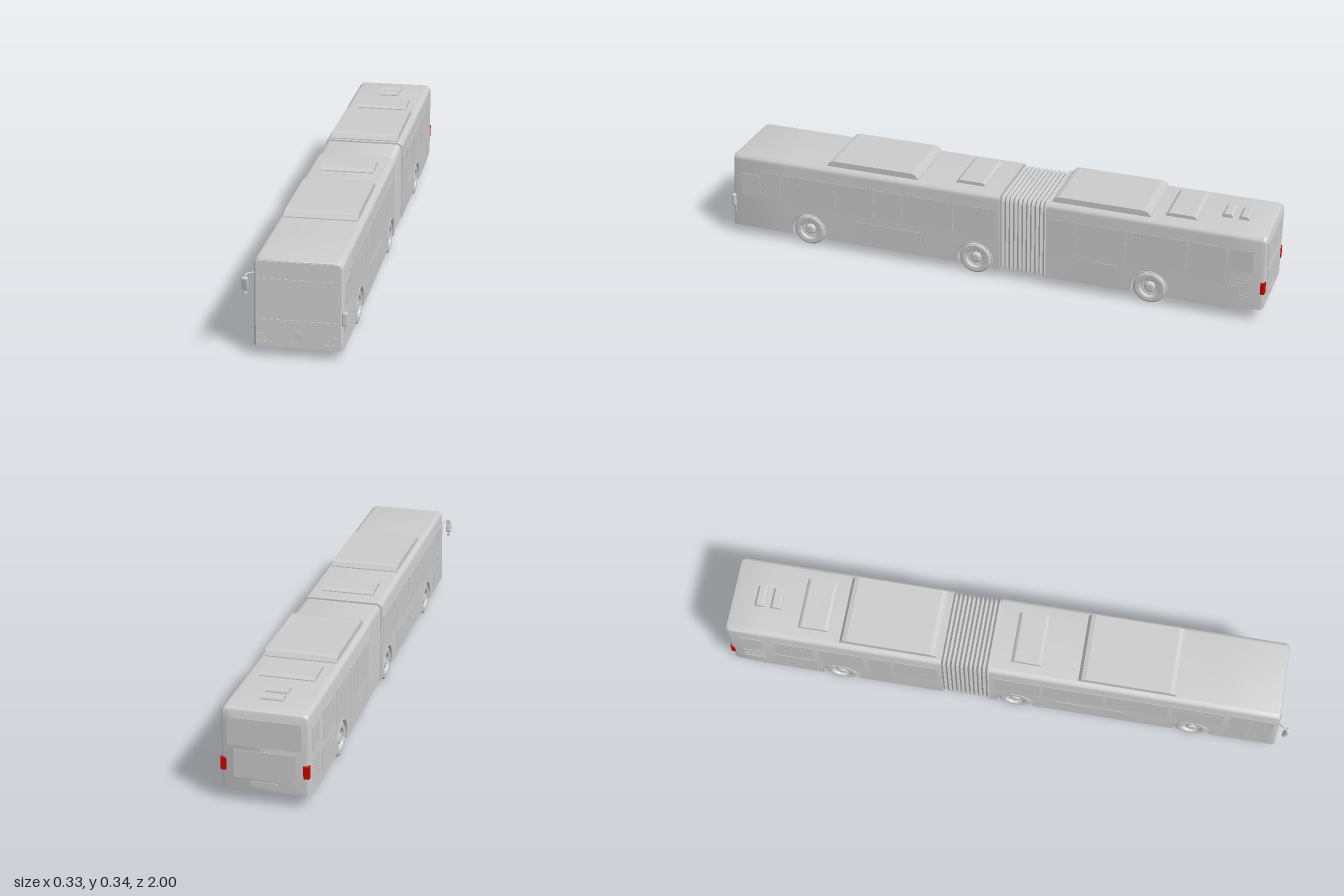
import * as THREE from 'three';
import { toCreasedNormals } from 'three/addons/utils/BufferGeometryUtils.js';
import { RoundedBoxGeometry } from 'three/addons/geometries/RoundedBoxGeometry.js';

const CX = 0.0075, HALF = 0.1425, FLOOR = 0.034, ROOF = 0.322;
const AXLES = [0.67, 0.032, -0.602], WHEEL_R = 0.058, ARCH_R = 0.065;
const frontZ = (y) => 0.974 - 0.065 * (y - FLOOR);
const grey = new THREE.MeshStandardMaterial({ color: 0xcccccc });
const red = new THREE.MeshStandardMaterial({ color: 0xcc0000 });

// Body outline, counterclockwise: flat bottom, rounded roof corners
function section(w, bottom, top, r = 0.02) {
  const pts = [[-w, bottom], [w, bottom]];
  for (const [cx, start] of [[w - r, 0], [r - w, Math.PI / 2]]) {
    for (let i = 0; i <= 6; i++) {
      const a = start + (i / 6) * Math.PI / 2;
      pts.push([cx + r * Math.cos(a), top - r + r * Math.sin(a)]);
    }
  }
  return pts;
}

// Skin a list of { pts, z } rings running from rear to front, with end caps
function loft(rings, crease = 0.5) {
  const n = rings[0].pts.length, pos = [], idx = [];
  for (const { pts, z } of rings)
    for (const [x, y] of pts) pos.push(x + CX, y, typeof z === 'function' ? z(y) : z);
  for (let i = 0; i < rings.length - 1; i++) {
    for (let j = 0; j < n; j++) {
      const a = i * n + j, b = i * n + (j + 1) % n;
      idx.push(a, b, b + n, a, b + n, a + n);
    }
  }
  const last = (rings.length - 1) * n;
  for (let j = 1; j < n - 1; j++) {
    idx.push(0, j + 1, j);
    idx.push(last, last + j, last + j + 1);
  }
  const g = new THREE.BufferGeometry();
  g.setAttribute('position', new THREE.Float32BufferAttribute(pos, 3));
  g.setIndex(idx);
  return toCreasedNormals(g, crease);
}

// Rings stepping over a wheel arch
function archRings(z) {
  const rings = [{ pts: section(HALF, FLOOR, ROOF), z: z - ARCH_R - 0.0002 }];
  for (let i = 0; i <= 16; i++) {
    const a = Math.PI * (1 - i / 16);
    rings.push({ pts: section(HALF, WHEEL_R + ARCH_R * Math.sin(a), ROOF), z: z + ARCH_R * Math.cos(a) });
  }
  rings.push({ pts: section(HALF, FLOOR, ROOF), z: z + ARCH_R + 0.0002 });
  return rings;
}

function shapeOf(points) {
  return new THREE.Shape(points.map(([x, y]) => new THREE.Vector2(x, y)));
}

export function createModel() {
  const bus = new THREE.Group();
  const add = (name, geo, x = 0, y = 0, z = 0, mat = grey, parent = bus) => {
    const m = new THREE.Mesh(geo, mat);
    m.name = name;
    m.position.set(x, y, z);
    parent.add(m);
    return m;
  };

  // Front and rear body sections
  const ring = (inset, z, bottom = FLOOR) => ({ pts: section(HALF - inset, bottom, ROOF - inset), z });
  add('frontBody', loft([
    ring(0, -0.06), ...archRings(AXLES[1]), ...archRings(AXLES[0]),
    ring(0, (y) => frontZ(y) - 0.012), ring(0.003, (y) => frontZ(y) - 0.004), ring(0.008, frontZ),
  ]));
  add('rearBody', loft([
    ring(0.012, -0.998, 0.05), ring(0.004, -0.994, 0.0495), ring(0, -0.984, 0.048), ring(0, -0.87),
    ...archRings(AXLES[2]), ring(0, -0.23),
  ]));

  // Pleated joint between the sections
  const pleats = [], count = 11;
  for (let i = 0; i <= count * 2; i++) {
    const d = i % 2 ? 0.001 : 0.01;
    pleats.push({ pts: section(HALF - 0.002 - d, FLOOR + d, ROOF - 0.002 - d), z: -0.231 + 0.172 * i / (count * 2) });
  }
  add('bellows', loft(pleats, 0.3));

  // Wheels with dished rims, hubs, bolts and arch trims
  const profile = [[0, -0.019], [0.05, -0.019], [0.056, -0.016], [0.058, -0.012], [0.058, 0.012], [0.056, 0.016],
    [0.05, 0.019], [0.037, 0.018], [0.034, 0.007], [0.02, 0.004], [0.017, 0.014], [0.012, 0.017], [0, 0.017]];
  const wheelGeo = toCreasedNormals(new THREE.LatheGeometry(profile.map(([r, h]) => new THREE.Vector2(r, h)), 40), 0.5);
  const boltGeo = new THREE.CylinderGeometry(0.002, 0.002, 0.005, 6);
  const trimGeo = new THREE.TorusGeometry(ARCH_R + 0.001, 0.0025, 6, 28, Math.PI);
  for (const z of AXLES) {
    for (const s of [1, -1]) {
      const wheel = new THREE.Group();
      wheel.name = 'wheel';
      wheel.position.set(CX + s * 0.121, WHEEL_R, z);
      wheel.rotation.z = -s * Math.PI / 2;
      bus.add(wheel);
      add('tyreAndRim', wheelGeo, 0, 0, 0, grey, wheel);
      for (let k = 0; k < 10; k++) {
        const a = k * Math.PI / 5;
        add('wheelBolt', boltGeo, 0.026 * Math.cos(a), 0.007, 0.026 * Math.sin(a), grey, wheel);
      }
      add('archTrim', trimGeo, CX + s * HALF, WHEEL_R, z).rotation.y = Math.PI / 2;
    }
  }

  // Roof pods: chamfered side profile drawn across the roof
  const pod = (name, z0, z1, half, top, c) => {
    const s = shapeOf([[z0, ROOF - 0.005], [z1, ROOF - 0.005], [z1, ROOF + 0.003], [z1 - c * 0.4, top - 0.004],
      [z1 - c, top], [z0 + c, top], [z0 + c * 0.4, top - 0.004], [z0, ROOF + 0.003]]);
    const g = new THREE.ExtrudeGeometry(s, { depth: half * 2, bevelEnabled: false });
    g.rotateY(-Math.PI / 2);
    add(name, g, CX + half, 0, 0);
  };
  pod('frontRoofUnit', 0.25, 0.595, 0.122, 0.343, 0.025);
  pod('rearRoofUnit', -0.592, -0.245, 0.122, 0.343, 0.025);
  pod('frontRoofHatch', 0.01, 0.118, 0.092, 0.334, 0.012);
  pod('rearRoofHatch', -0.745, -0.637, 0.092, 0.334, 0.012);
  pod('roofVent', -0.856, -0.818, 0.037, 0.334, 0.008);
  pod('roofVent', -0.912, -0.876, 0.037, 0.334, 0.008);

  // Thin panels on the flanks: [name, z from, z to, y from, y to]
  const flank = (s, [name, z0, z1, y0, y1]) =>
    add(name, new THREE.BoxGeometry(0.003, y1 - y0, z1 - z0), CX + s * HALF, (y0 + y1) / 2, (z0 + z1) / 2);
  const leftSide = [
    ['driverWindow', 0.855, 0.93, 0.165, 0.25], ['sideWindow', 0.78, 0.85, 0.165, 0.265],
    ['sideWindow', 0.565, 0.76, 0.155, 0.265], ['sideWindow', 0.415, 0.555, 0.155, 0.265],
    ['sideWindow', 0.307, 0.408, 0.152, 0.265], ['sideWindow', 0.115, 0.3, 0.155, 0.265],
    ['sideWindow', -0.04, 0.108, 0.155, 0.265], ['serviceHatch', 0.235, 0.47, 0.055, 0.125],
    ['sideWindow', -0.33, -0.24, 0.135, 0.265], ['sideWindow', -0.51, -0.345, 0.145, 0.265],
    ['serviceHatch', -0.49, -0.345, 0.06, 0.125], ['sideWindow', -0.725, -0.52, 0.145, 0.265],
    ['sideWindow', -0.86, -0.735, 0.125, 0.265],
  ];
  const rightSide = [
    ['frontDoor', 0.872, 0.945, 0.05, 0.27], ['frontDoor', 0.793, 0.866, 0.05, 0.27],
    ['sideWindow', 0.59, 0.77, 0.155, 0.265], ['sideWindow', 0.355, 0.575, 0.155, 0.265],
    ['sideWindow', 0.13, 0.345, 0.155, 0.265], ['sideWindow', -0.04, 0.12, 0.155, 0.265],
    ['serviceHatch', 0.18, 0.42, 0.055, 0.125], ['middleDoor', -0.49, -0.41, 0.05, 0.265],
    ['sideWindow', -0.4, -0.245, 0.145, 0.265], ['sideWindow', -0.67, -0.51, 0.145, 0.265],
    ['sideWindow', -0.83, -0.69, 0.16, 0.265], ['engineHatch', -0.84, -0.69, 0.06, 0.145],
  ];
  leftSide.forEach((p) => flank(1, p));
  rightSide.forEach((p) => flank(-1, p));
  for (const s of [1, -1]) {
    flank(s, ['rearSideWindow', -0.955, -0.875, 0.185, 0.265]);
    flank(s, ['windowRail', 0.6, 0.755, 0.237, 0.24]).scale.x = 1.4;
    // Engine air grille
    for (let r = 0; r < 6; r++) {
      for (let c = 0; c < 7; c++) {
        const z = -0.95 + c * 0.011, y = 0.085 + r * 0.012;
        flank(s, ['airGrille', z, z + 0.007, y, y + 0.007]);
      }
    }
  }

  // Panels lying on the raked front face
  const front = (name, pts, t = 0.003) => {
    const g = new THREE.ExtrudeGeometry(shapeOf(pts), { depth: t, bevelEnabled: false });
    const p = g.attributes.position;
    for (let i = 0; i < p.count; i++) p.setZ(i, p.getZ(i) + frontZ(p.getY(i)) - 0.001);
    g.computeVertexNormals();
    return add(name, g, CX, 0, 0);
  };
  const rect = (w, y0, y1) => [[-w, y0], [w, y0], [w, y1], [-w, y1]];
  front('windscreen', rect(0.125, 0.129, 0.256));
  front('destinationPanel', rect(0.122, 0.26, 0.312), 0.004);
  const curve = new THREE.CubicBezierCurve(new THREE.Vector2(0.07, 0.053), new THREE.Vector2(0.095, 0.058),
    new THREE.Vector2(0.12, 0.09), new THREE.Vector2(0.123, 0.124)).getPoints(10).map((v) => [v.x, v.y]);
  front('frontApron', [...curve, ...curve.map(([x, y]) => [-x, y]).reverse()]);
  for (const s of [1, -1]) {
    const lamp = [[0.09, 0.041], [0.12, 0.041], [0.132, 0.052], [0.083, 0.052]].map(([x, y]) => [s * x, y]);
    front('foglamp', s > 0 ? lamp : lamp.reverse());
    const head = [[0.1, 0.058], [0.132, 0.058], [0.132, 0.077], [0.112, 0.077]].map(([x, y]) => [s * x, y]);
    front('headlamp', s > 0 ? head : head.reverse());
  }
  add('frontDisc', new THREE.CylinderGeometry(0.015, 0.015, 0.004, 32), CX, 0.073, frontZ(0.073) + 0.002).rotation.x = Math.PI / 2;

  // Rear window, engine cover, plate and lamps
  add('rearWindow', new THREE.BoxGeometry(0.24, 0.093, 0.004), CX, 0.245, -0.998);
  add('engineCover', new THREE.BoxGeometry(0.2, 0.095, 0.004), CX, 0.136, -0.998);
  add('plateHolder', new THREE.BoxGeometry(0.09, 0.018, 0.004), CX, 0.07, -0.998);
  for (const s of [1, -1])
    add('tailLamp', new RoundedBoxGeometry(0.02, 0.045, 0.016, 2, 0.003), CX + s * 0.134, 0.13, -0.992, red);

  // Mirrors: long arm on the right, small one on the left
  const arm = new THREE.CatmullRomCurve3([[-0.131, 0.268, 0.95], [-0.142, 0.274, 0.968], [-0.153, 0.273, 0.985], [-0.154, 0.262, 0.987]]
    .map((p) => new THREE.Vector3(...p)));
  add('rightMirrorArm', new THREE.TubeGeometry(arm, 16, 0.003, 8));
  add('rightMirror', new RoundedBoxGeometry(0.02, 0.046, 0.014, 3, 0.005), -0.154, 0.247, 0.988).rotation.x = 0.25;
  add('rightMirrorStem', new THREE.CylinderGeometry(0.002, 0.002, 0.02, 8), -0.154, 0.222, 0.986);
  add('rightLowerMirror', new RoundedBoxGeometry(0.011, 0.009, 0.008, 2, 0.002), -0.154, 0.213, 0.985);
  add('leftMirror', new RoundedBoxGeometry(0.018, 0.046, 0.014, 3, 0.005), 0.153, 0.138, 0.962);
  add('leftMirrorStem', new THREE.CylinderGeometry(0.002, 0.002, 0.03, 8), 0.153, 0.11, 0.958);

  return bus;
}
